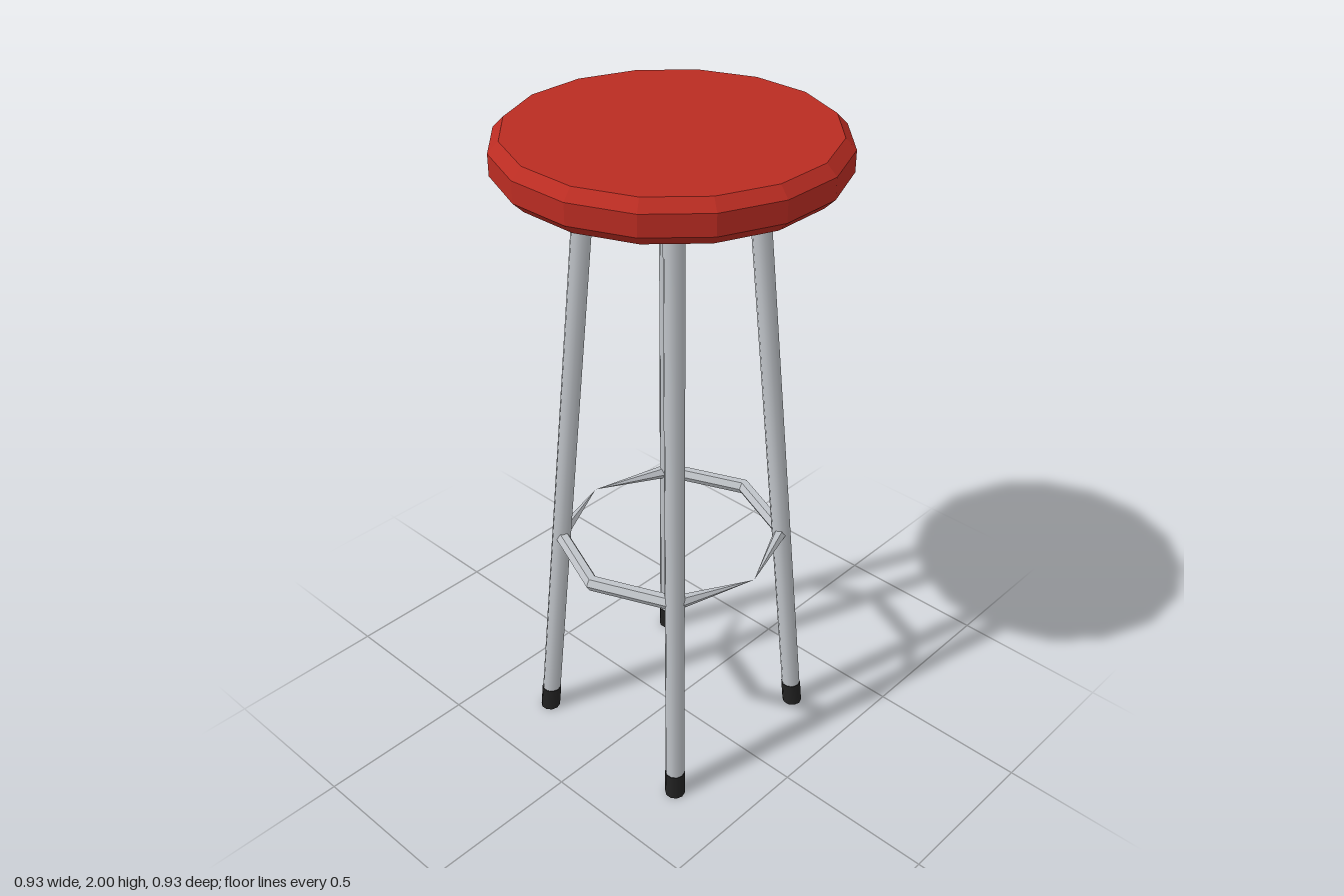
import * as THREE from 'three';

const mat = (name, color, flat = false) => {
  const m = new THREE.MeshStandardMaterial({ color });
  m.name = name;
  m.flatShading = flat;
  return m;
};

export function createModel() {
  const group = new THREE.Group();
  const red = mat('redSeat', 0xba2c22, true);
  const metal = mat('greyMetal', 0xbfc3c8);
  const rubber = mat('blackRubber', 0x222222);
  metal.flatShading = false;

  const add = (name, geometry, material) => {
    const mesh = new THREE.Mesh(geometry, material);
    mesh.name = name;
    group.add(mesh);
    return mesh;
  };

  // Sixteen-sided cushion with bevelled rims
  const profile = [[0, 1.88], [0.446, 1.88], [0.476, 1.91], [0.476, 1.97], [0.446, 2], [0, 2]]
    .map(([r, y]) => new THREE.Vector2(r, y));
  add('seat', new THREE.LatheGeometry(profile, 16, Math.PI / 16), red);

  // Round plate under the cushion
  add('seatPlate', new THREE.CylinderGeometry(0.305, 0.305, 0.045, 12), metal)
    .position.y = 1.8625;

  // Splayed tube: a cylinder sheared so both ends stay level
  const offset = (y) => 0.284 - 0.122 * y / 1.85;
  const splayed = (y0, y1, radius, sx, sz) => {
    const g = new THREE.CylinderGeometry(radius, radius, y1 - y0, 10);
    g.translate(0, (y0 + y1) / 2, 0);
    const p = g.attributes.position;
    for (let i = 0; i < p.count; i++) {
      const d = offset(p.getY(i));
      p.setX(i, p.getX(i) + sx * d);
      p.setZ(i, p.getZ(i) + sz * d);
    }
    return g;
  };

  // Four legs with rubber feet
  for (const sx of [-1, 1]) {
    for (const sz of [-1, 1]) {
      const side = (sz > 0 ? 'front' : 'back') + (sx > 0 ? 'Left' : 'Right');
      add(side + 'Leg', splayed(0.075, 1.85, 0.029, sx, sz), metal);
      add(side + 'Foot', splayed(0, 0.08, 0.031, sx, sz), rubber);
    }
  }

  // Octagonal foot ring, pinched to a point at the front and back
  const ring = new THREE.TorusGeometry(0.338, 0.023, 6, 8);
  ring.rotateX(Math.PI / 2);
  const p = ring.attributes.position;
  for (let i = 0; i < p.count; i++) {
    if (Math.abs(p.getX(i)) < 0.001) p.setXYZ(i, 0, 0, Math.sign(p.getZ(i)) * 0.334);
  }
  const ringMetal = metal.clone();
  ringMetal.name = 'greyMetalFaceted';
  ringMetal.flatShading = true;
  add('footRing', ring, ringMetal).position.y = 0.7;

  return group;
}
